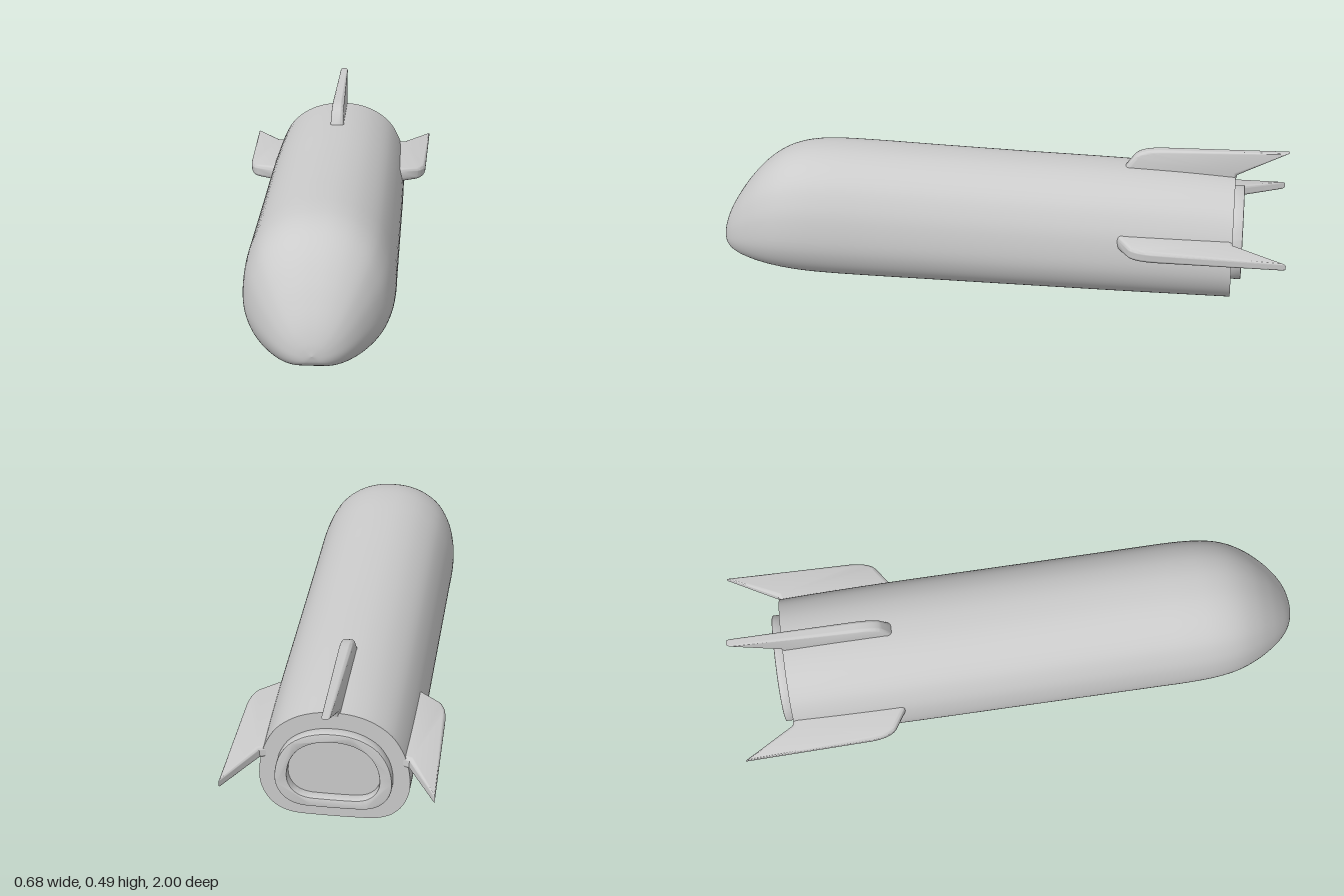
import * as THREE from 'three';
import { toCreasedNormals } from 'three/addons/utils/BufferGeometryUtils.js';

const material = new THREE.MeshStandardMaterial({ color: 0xcccccc });

// Hull cross-section: right half from bottom to top, x in -1..1 and y in 0..1, then mirrored
const half = [[0, 0], [0.3, 0.002], [0.56, 0.012], [0.76, 0.06], [0.9, 0.15], [0.98, 0.265], [1, 0.38],
  [0.965, 0.555], [0.895, 0.68], [0.76, 0.815], [0.53, 0.925], [0.27, 0.984], [0, 1]];
const mirrored = half.slice(1, -1).reverse().map(([x, y]) => [-x, y]);
const sectionCurve = new THREE.CatmullRomCurve3(
  [...half, ...mirrored].map(([x, y]) => new THREE.Vector3(x, y, 0)), true, 'centripetal');
const section = sectionCurve.getPoints(96).slice(0, -1);

// Section scaled to a half width and a bottom/top height
const outline = (w, bottom, top) =>
  section.map(p => new THREE.Vector2(p.x * w, bottom + p.y * (top - bottom)));

// Stations from nose to tail: z, bottom, top, half width
const stations = [
  [1, 0.085, 0.085, 0], [0.993, 0.06, 0.125, 0.045], [0.975, 0.045, 0.175, 0.085], [0.945, 0.034, 0.23, 0.122],
  [0.9, 0.025, 0.295, 0.16], [0.84, 0.018, 0.36, 0.198], [0.77, 0.013, 0.408, 0.228], [0.69, 0.008, 0.434, 0.244],
  [0.59, 0.005, 0.443, 0.25], [0.45, 0.003, 0.442, 0.25], [0.22, 0.002, 0.435, 0.25], [-0.08, 0.001, 0.427, 0.25],
  [-0.4, 0, 0.42, 0.25], [-0.64, 0, 0.411, 0.248], [-0.82, 0, 0.4, 0.245]];

function hullGeometry() {
  const profile = new THREE.CatmullRomCurve3(
    stations.map(s => new THREE.Vector3(s[0], s[1], s[2])), false, 'catmullrom');
  const widths = new THREE.CatmullRomCurve3(
    stations.map(s => new THREE.Vector3(s[3], 0, 0)), false, 'catmullrom');
  const rings = 84, n = section.length, positions = [], index = [];
  for (let i = 0; i <= rings; i++) {
    const p = profile.getPoint(i / rings), w = widths.getPoint(i / rings).x;
    for (const v of outline(w, p.y, p.z)) positions.push(v.x, v.y, p.x);
  }
  for (let i = 0; i < rings; i++) {
    for (let j = 0; j < n; j++) {
      const a = i * n + j, b = i * n + (j + 1) % n;
      index.push(a, a + n, b, b, a + n, b + n);
    }
  }
  const g = new THREE.BufferGeometry();
  g.setAttribute('position', new THREE.Float32BufferAttribute(positions, 3));
  g.setIndex(index);
  g.computeVertexNormals();
  return g;
}

// Swept fin: x points outward from the hull, -z to the tail, thickness along y
function finGeometry(height) {
  const s = new THREE.Shape();
  s.moveTo(-0.06, 0.43);
  s.lineTo(0, 0.43);
  s.lineTo(height * 0.6, 0.47);
  s.quadraticCurveTo(height * 0.86, 0.49, height * 0.9, 0.56);
  s.lineTo(height, 1);
  s.lineTo(0, 0.825);
  s.lineTo(-0.06, 0.81);
  s.closePath();
  const bevel = 0.014;
  const g = new THREE.ExtrudeGeometry(s, {
    depth: 0.022, bevelEnabled: true, bevelThickness: bevel, bevelSize: bevel,
    bevelOffset: -bevel, bevelSegments: 5, curveSegments: 10 });
  g.translate(0, 0, -0.011);
  // Thin the fin toward its tip and outer edge
  const p = g.attributes.position;
  for (let i = 0; i < p.count; i++) {
    const back = THREE.MathUtils.clamp((p.getY(i) - 0.6) / 0.4, 0, 1);
    const out = THREE.MathUtils.clamp(p.getX(i) / height, 0, 1);
    p.setZ(i, p.getZ(i) * (1 - 0.35 * back) * (1.02 - 0.2 * out));
  }
  g.rotateX(-Math.PI / 2);
  return toCreasedNormals(g, 0.7);
}

export function createModel() {
  const model = new THREE.Group();
  const add = (name, geometry) => {
    const mesh = new THREE.Mesh(geometry, material);
    mesh.name = name;
    model.add(mesh);
    return mesh;
  };

  add('hull', hullGeometry());

  // Flat tail wall, also the floor of the nozzle recess
  const wall = new THREE.ShapeGeometry(new THREE.Shape(outline(0.245, 0, 0.4)));
  add('tailWall', wall.rotateY(Math.PI)).position.z = -0.82;

  // Raised rim around the recess
  const rim = new THREE.Shape(outline(0.19, 0.055, 0.34));
  rim.holes.push(new THREE.Path(outline(0.15, 0.088, 0.308)));
  const rimGeometry = new THREE.ExtrudeGeometry(rim, {
    depth: 0.034, bevelEnabled: true, bevelThickness: 0.004, bevelSize: 0.004, bevelOffset: -0.004, bevelSegments: 2 });
  add('tailRim', toCreasedNormals(rimGeometry, 0.5)).position.z = -0.85;

  // Side fins, tilted slightly down toward the tail
  for (const side of [1, -1]) {
    const fin = add(side > 0 ? 'leftFin' : 'rightFin', finGeometry(0.1));
    fin.rotation.set(0, 0, side > 0 ? -0.08 : Math.PI + 0.08);
    fin.position.set(side * 0.241, 0.229, 0);
  }

  // Top fin
  const topFin = add('topFin', finGeometry(0.088));
  topFin.rotation.z = Math.PI / 2;
  topFin.position.y = 0.406;

  return model;
}
